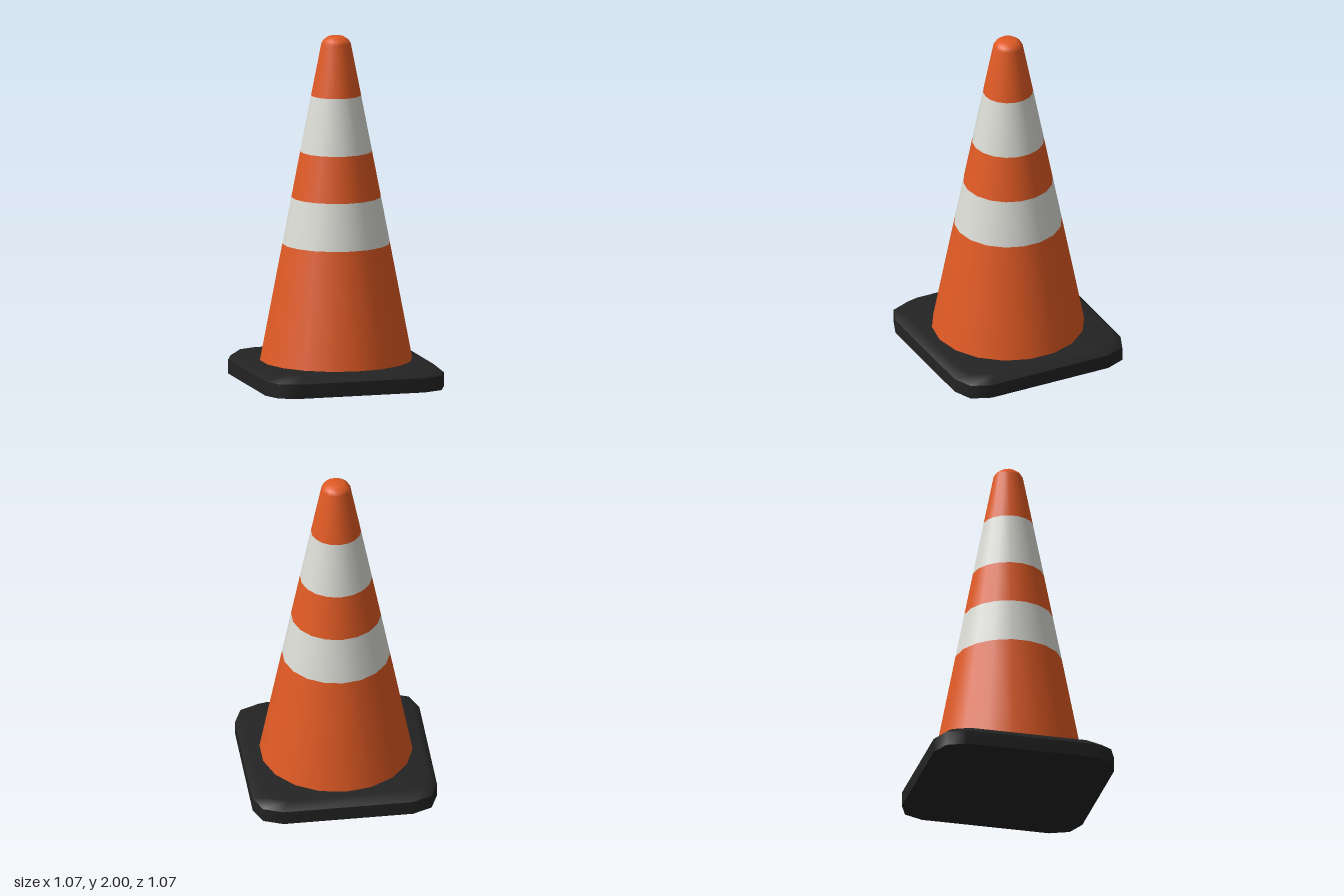
import * as THREE from 'three';

const orange = new THREE.MeshStandardMaterial({ color: 0xe05a24 });
orange.name = 'cone orange';
const white = new THREE.MeshStandardMaterial({ color: 0xdcdcd6 });
white.name = 'band white';
const black = new THREE.MeshStandardMaterial({ color: 0x232323 });
black.name = 'base black';

// Square outline with two-step rounded corners, anticlockwise seen from above
const outline = [];
for (let k = 0; k < 4; k++) {
  const c = [1, 0, -1, 0][k], s = [0, 1, 0, -1][k];
  for (const [x, z] of [[-0.375, 0.533], [0.375, 0.533], [0.487, 0.487]]) {
    outline.push([x * c + z * s, z * c - x * s]);
  }
}

// Skin between scaled copies of the outline, each given as [scale, y]
function loft(rings) {
  const n = outline.length, positions = [], index = [];
  for (const [scale, y] of rings) {
    for (const [x, z] of outline) positions.push(x * scale, y, z * scale);
  }
  for (let r = 0; r < rings.length - 1; r++) {
    for (let i = 0; i < n; i++) {
      const a = r * n + i, b = r * n + (i + 1) % n;
      index.push(a, b, b + n, a, b + n, a + n);
    }
  }
  const geometry = new THREE.BufferGeometry();
  geometry.setAttribute('position', new THREE.Float32BufferAttribute(positions, 3));
  geometry.setIndex(index);
  geometry.computeVertexNormals();
  return geometry;
}

export function createModel() {
  const model = new THREE.Group();
  model.name = 'trafficCone';

  const add = (parent, name, geometry, material) => {
    const mesh = new THREE.Mesh(geometry, material);
    mesh.name = name;
    parent.add(mesh);
  };

  // Base slab: crisp edges between wall, bevelled top and underside
  const base = new THREE.Group();
  base.name = 'base';
  add(base, 'baseWall', loft([[1, 0], [1, 0.083]]), black);
  add(base, 'baseTop', loft([[1, 0.083], [0.91, 0.125], [0, 0.125]]), black);
  add(base, 'baseUnderside', loft([[0, 0], [1, 0]]), black);
  model.add(base);

  // Tapered body, stacked in coloured sections of [radius, y] points
  const body = new THREE.Group();
  body.name = 'body';
  const sections = [
    ['lowerBody', orange, [[0.44, 0.12], [0.31, 0.8]]],
    ['lowerBand', white, [[0.31, 0.8], [0.258, 1.07]]],
    ['middleBody', orange, [[0.258, 1.07], [0.207, 1.335]]],
    ['upperBand', white, [[0.207, 1.335], [0.144, 1.66]]],
    ['tip', orange, [[0.144, 1.66], [0.085, 1.96], [0.073, 1.98], [0.046, 2], [0, 2]]],
  ];
  for (const [name, material, profile] of sections) {
    const points = profile.map(([r, y]) => new THREE.Vector2(r, y));
    add(body, name, new THREE.LatheGeometry(points, 18), material);
  }
  model.add(body);

  return model;
}
